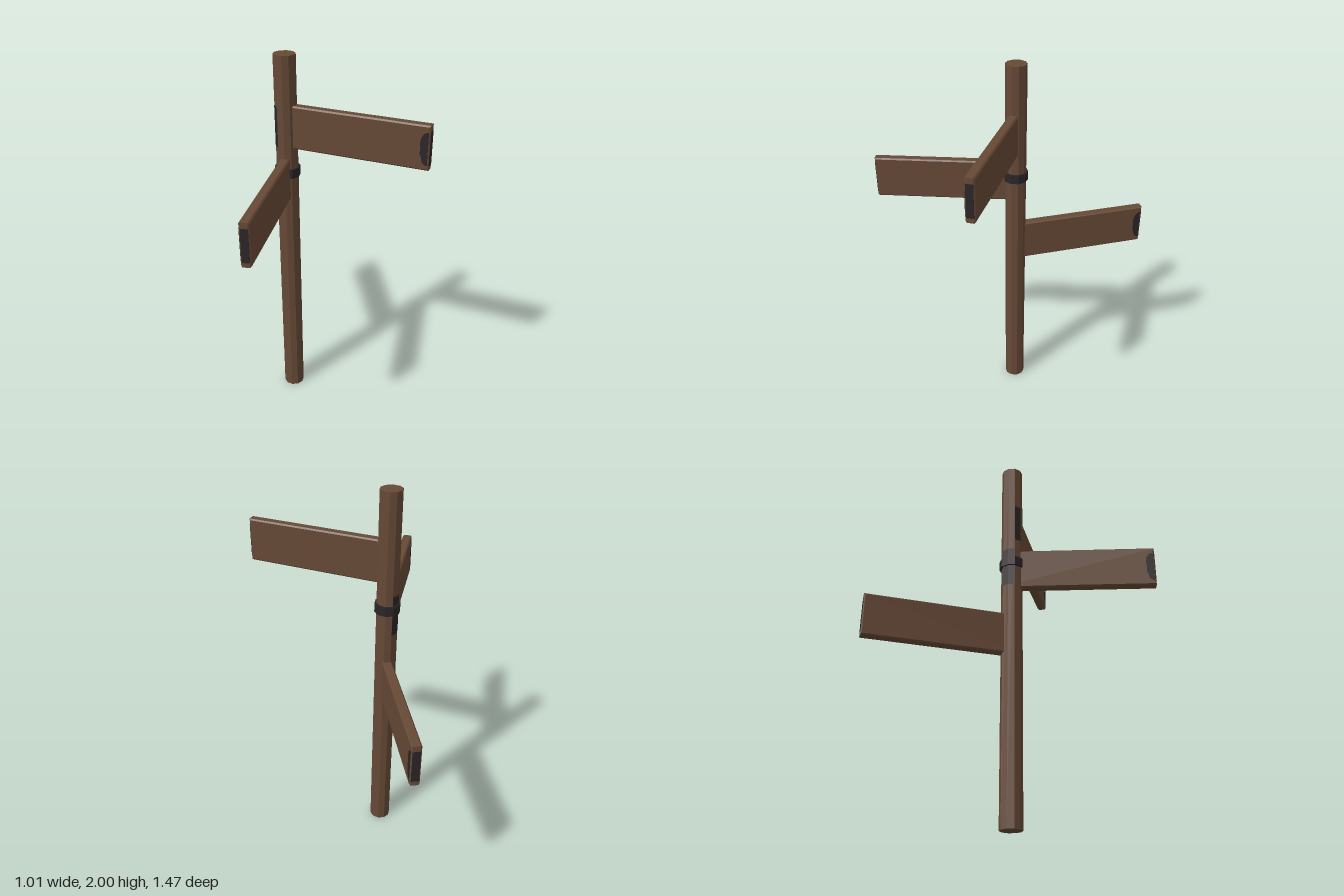
import * as THREE from 'three';

const wood = new THREE.MeshStandardMaterial({ name: 'brownWood', color: 0x664936 });
const dark = new THREE.MeshStandardMaterial({ name: 'darkPaint', color: 0x2b2526 });

const SIDES = 10, POLE_R = 0.056;
const REACH = 0.753, ROOT = -0.048, HEIGHT = 0.224, THICK = 0.05, BEVEL = 0.007;

function add(parent, name, geometry, material, x = 0, y = 0, z = 0) {
  const flat = geometry.index ? geometry.toNonIndexed() : geometry;
  flat.computeVertexNormals();
  const mesh = new THREE.Mesh(flat, material);
  mesh.name = name;
  mesh.position.set(x, y, z);
  parent.add(mesh);
  return mesh;
}

// Plank with chamfered rims, running along +x from the pole
function plankGeometry() {
  const x0 = ROOT + BEVEL, x1 = REACH - BEVEL, h = HEIGHT / 2 - BEVEL;
  const shape = new THREE.Shape([[x0, -h], [x1, -h], [x1, h], [x0, h]].map(p => new THREE.Vector2(...p)));
  const depth = THICK - 2 * BEVEL;
  const g = new THREE.ExtrudeGeometry(shape, {
    depth, bevelEnabled: true, bevelThickness: BEVEL, bevelSize: BEVEL, bevelSegments: 1,
  });
  return g.translate(0, 0, -depth / 2);
}

// Worn, uneven patch on the plank face beside its tip
function wornGeometry() {
  const pts = [[-0.008, -0.086], [-0.02, -0.084], [-0.034, -0.07], [-0.038, -0.05], [-0.047, -0.03],
    [-0.044, 0], [-0.048, 0.022], [-0.044, 0.05], [-0.034, 0.068], [-0.02, 0.078], [-0.008, 0.08]];
  const shape = new THREE.Shape(pts.map(p => new THREE.Vector2(...p)).reverse());
  return new THREE.ExtrudeGeometry(shape, { depth: 0.0015, bevelEnabled: false });
}

function board(name, y, degrees) {
  const g = new THREE.Group();
  g.name = name;
  g.position.y = y;
  g.rotation.y = -THREE.MathUtils.degToRad(degrees);
  add(g, 'plank', plankGeometry(), wood);
  add(g, 'tipPaint', new THREE.BoxGeometry(0.002, 0.17, 0.038), dark, REACH, -0.003, 0);
  add(g, 'rootPaint', new THREE.BoxGeometry(0.002, 0.17, 0.038), dark, ROOT, -0.003, 0);
  add(g, 'wornPatch', wornGeometry(), dark, REACH, 0, THICK / 2);
  return g;
}

// Dark stain wrapping whole facets of the pole
function stain(parent, y, firstFacet, facets) {
  const step = Math.PI * 2 / SIDES;
  const r = POLE_R + 0.0012;
  add(parent, 'poleStain', new THREE.CylinderGeometry(r, r, 0.215, facets, 1, true,
    firstFacet * step, facets * step), dark, 0, y, 0);
}

export function createModel() {
  const model = new THREE.Group();
  model.name = 'signpost';
  const post = new THREE.Group();
  post.name = 'post';
  post.position.set(-0.236, 0, -0.018);
  model.add(post);

  add(post, 'pole', new THREE.CylinderGeometry(POLE_R, POLE_R, 2, SIDES), wood, 0, 1, 0);
  add(post, 'collar', new THREE.CylinderGeometry(0.066, 0.066, 0.05, SIDES), dark, 0, 1.393, 0);

  post.add(board('upperBoard', 1.637, 11.7));
  post.add(board('middleBoard', 1.362, 90));
  post.add(board('lowerBoard', 0.983, 250.5));

  stain(post, 1.637, 8, 1);
  stain(post, 1.362, 6, 2);
  return model;
}
